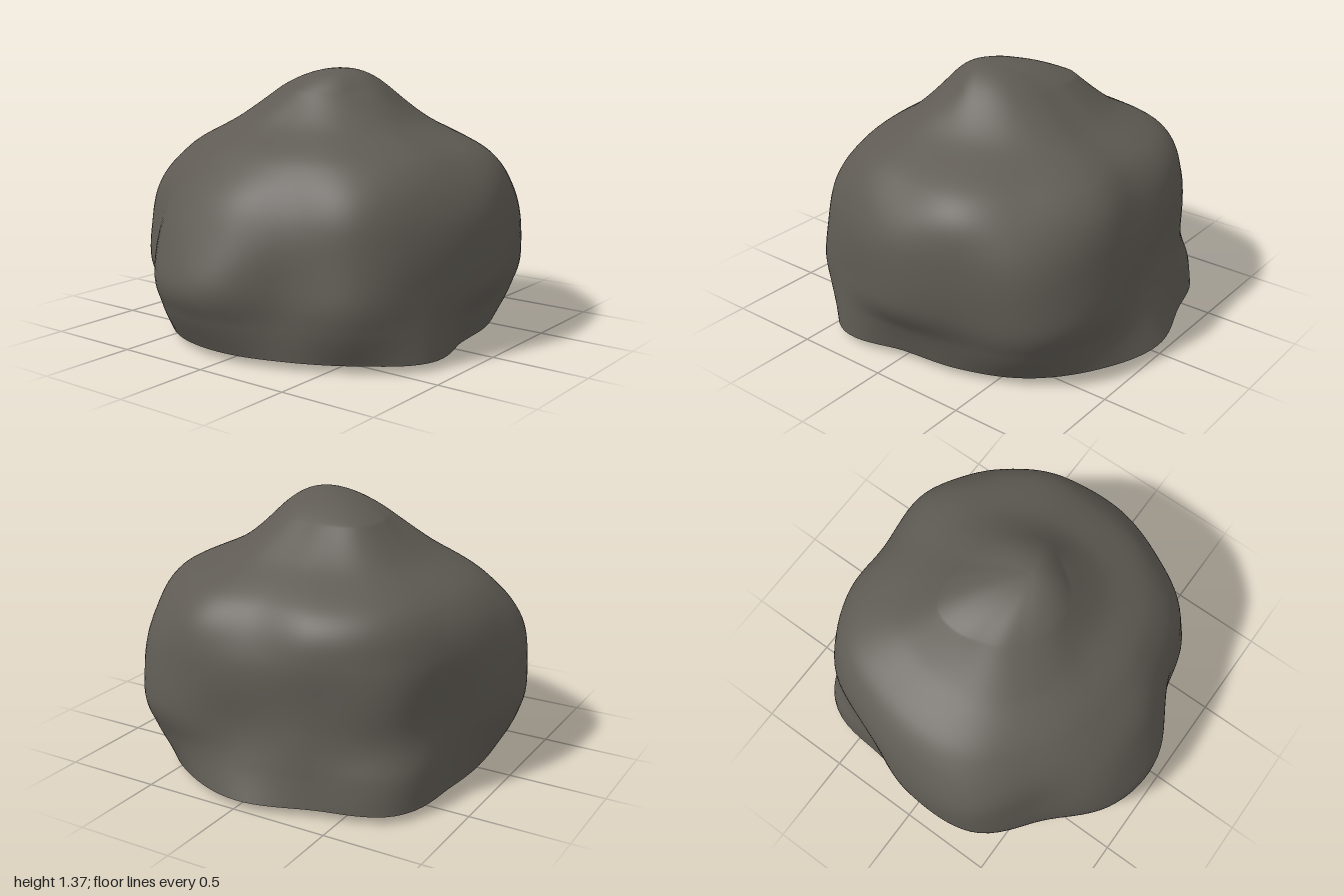
import * as THREE from 'three';

// Cross-sections from the ground up: radius every 22.5 degrees, from +x towards +z
const SECTIONS = [
  { y: 0.04, r: [0.82, 0.94, 0.87, 0.83, 0.84, 0.85, 0.84, 0.86, 0.85, 0.9, 1.04, 0.96, 0.985, 0.94, 0.9, 0.84] },
  { y: 0.2, r: [0.87, 0.93, 0.93, 0.85, 0.91, 0.93, 0.88, 0.95, 0.91, 0.9, 1.02, 0.93, 0.92, 0.95, 0.99, 0.89] },
  { y: 0.39, r: [0.95, 0.92, 0.945, 0.855, 0.95, 0.97, 0.915, 1.0, 0.95, 0.9, 0.96, 0.905, 0.88, 0.98, 1.045, 0.95] },
  { y: 0.72, r: [0.92, 0.895, 0.875, 0.8, 0.825, 0.84, 0.85, 0.945, 0.925, 0.905, 0.95, 0.9, 0.865, 0.95, 0.975, 0.955] },
  { y: 0.94, r: [0.77, 0.76, 0.72, 0.655, 0.635, 0.655, 0.685, 0.77, 0.78, 0.805, 0.855, 0.81, 0.75, 0.82, 0.815, 0.825] },
  { y: 1.1, r: [0.48, 0.48, 0.46, 0.42, 0.4, 0.42, 0.45, 0.49, 0.5, 0.53, 0.57, 0.53, 0.5, 0.53, 0.52, 0.5] },
  { y: 1.26, r: [0.31, 0.28, 0.27, 0.26, 0.25, 0.24, 0.24, 0.26, 0.28, 0.33, 0.37, 0.33, 0.29, 0.3, 0.31, 0.31] },
];
const PEAK = [0.11, 1.365, 0.03];
const AROUND = 128, UP = 60, DOME = 12;

// Smooth interpolation between four neighbouring values
function spline(a, b, c, d, t) {
  return b + 0.5 * t * (c - a + t * (2 * a - 5 * b + 4 * c - d + t * (3 * (b - c) + d - a)));
}

function ringRadius(r, u) {
  const n = r.length, i = Math.floor(u * n);
  const at = (k) => r[(i + k + n) % n];
  return spline(at(-1), at(0), at(1), at(2), u * n - i);
}

// Point on the stone: u runs around, v runs from the ground to the foot of the peak
function stonePoint(u, v) {
  const last = SECTIONS.length - 1;
  const i = Math.min(Math.floor(v * last), last - 1), t = v * last - i;
  const at = (k) => SECTIONS[THREE.MathUtils.clamp(i + k, 0, last)];
  const y = spline(at(-1).y, at(0).y, at(1).y, at(2).y, t);
  let r = spline(...[-1, 0, 1, 2].map((k) => ringRadius(at(k).r, u)), t);
  // Gentle weathered lumps
  const a = u * Math.PI * 2;
  const lumps = Math.sin(5 * a + 6 * y) * Math.sin(7 * y + 2 * a) + 0.6 * Math.sin(9 * a - 8 * y + 1);
  r *= 1 + 0.007 * lumps * Math.sin(Math.PI * v);
  return [Math.cos(a) * r, y, Math.sin(a) * r];
}

// Closed rings joined into a skin, ending in one point
function skin(rings, tip, flip) {
  const positions = [], index = [];
  const tri = (a, b, c) => (flip ? index.push(a, c, b) : index.push(a, b, c));
  rings.forEach((ring) => ring.forEach((p) => positions.push(...p)));
  positions.push(...tip);
  const tipIndex = rings.length * AROUND;
  for (let j = 0; j < rings.length; j++) {
    for (let i = 0; i < AROUND; i++) {
      const a = j * AROUND + i, b = j * AROUND + (i + 1) % AROUND;
      if (j === rings.length - 1) {
        tri(a, tipIndex, b);
      } else {
        tri(a, a + AROUND, b);
        tri(b, a + AROUND, b + AROUND);
      }
    }
  }
  const geometry = new THREE.BufferGeometry();
  geometry.setAttribute('position', new THREE.Float32BufferAttribute(positions, 3));
  geometry.setIndex(index);
  geometry.computeVertexNormals();
  return geometry;
}

export function createModel() {
  const group = new THREE.Group();
  group.name = 'boulder';
  const stone = new THREE.MeshStandardMaterial({ color: 0x5f5b54 });
  stone.name = 'darkStone';

  // Weathered body
  const rings = [];
  for (let j = 0; j <= UP; j++) {
    rings.push(Array.from({ length: AROUND }, (_, i) => stonePoint(i / AROUND, j / UP)));
  }
  // Rounded peak, off centre
  const foot = rings[UP];
  for (let j = 1; j < DOME; j++) {
    const s = 1 - j / DOME;
    rings.push(foot.map(([x, y, z]) => [
      PEAK[0] + (x - PEAK[0]) * s,
      PEAK[1] + (y - PEAK[1]) * s * s,
      PEAK[2] + (z - PEAK[2]) * s,
    ]));
  }
  const body = new THREE.Mesh(skin(rings, PEAK, false), stone);
  body.name = 'stoneBody';

  // Slightly bulging underside with a sharp rim
  const underRings = [1, 0.8, 0.55, 0.3].map((s) =>
    rings[0].map(([x, y, z]) => [x * s, y * s * s, z * s]));
  const underside = new THREE.Mesh(skin(underRings, [0, 0, 0], true), stone);
  underside.name = 'underside';

  group.add(body, underside);
  return group;
}
